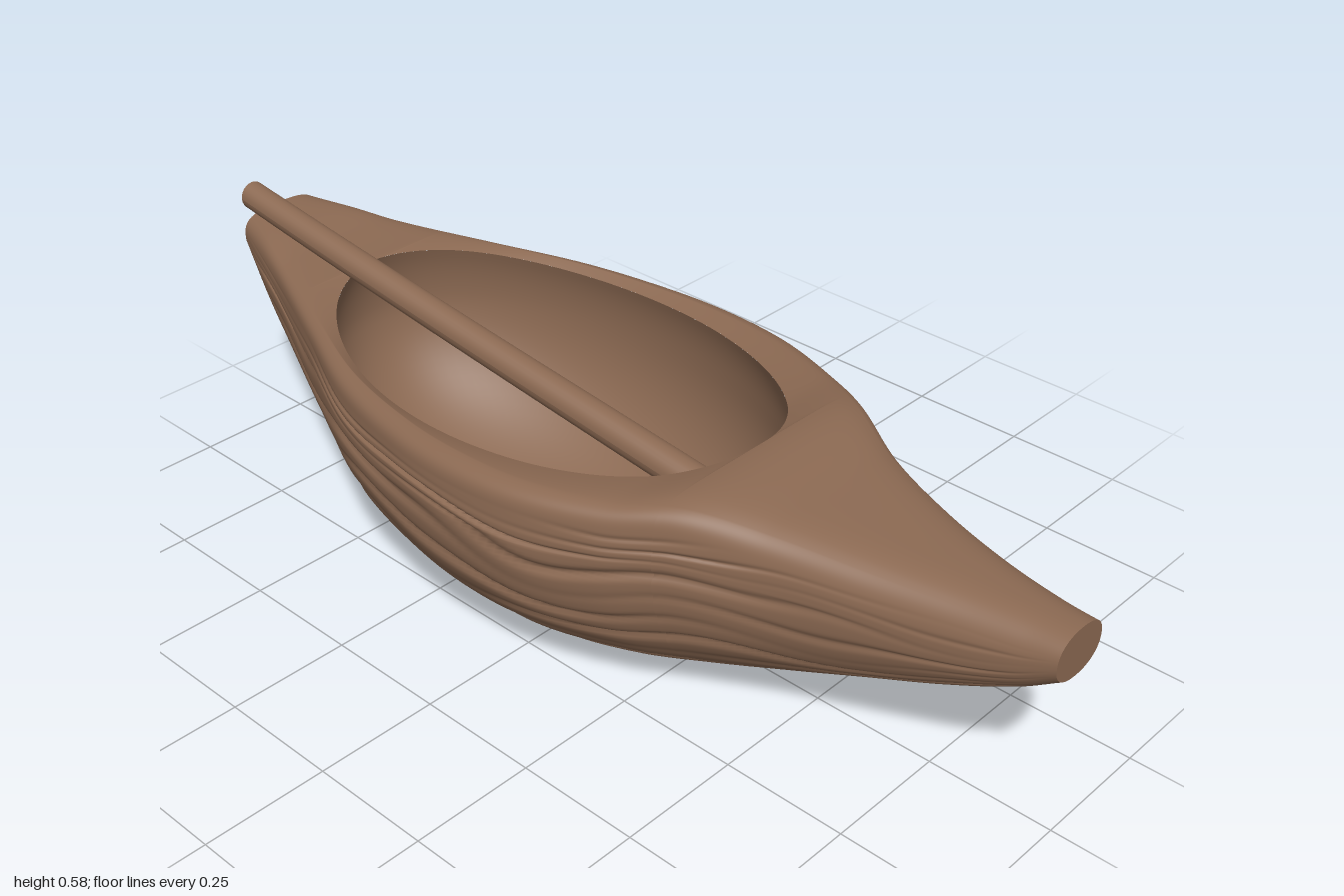
import * as THREE from 'three';

// Hull stations: x, half width, bottom, top, height fraction of widest line, squareness of the top
const STATIONS = [
  [-1, 0.095, 0.405, 0.505, 0.5, 3],
  [-0.9, 0.13, 0.28, 0.497, 0.62, 5],
  [-0.8, 0.167, 0.2, 0.483, 0.68, 7],
  [-0.6, 0.253, 0.097, 0.472, 0.74, 8],
  [-0.4, 0.338, 0.04, 0.464, 0.74, 8],
  [-0.2, 0.382, 0.012, 0.461, 0.74, 8],
  [-0.05, 0.391, 0.004, 0.461, 0.74, 8],
  [0.1, 0.375, 0.01, 0.462, 0.74, 8],
  [0.25, 0.325, 0.03, 0.468, 0.74, 7],
  [0.37, 0.262, 0.058, 0.483, 0.72, 6],
  [0.5, 0.195, 0.1, 0.463, 0.68, 4.5],
  [0.65, 0.145, 0.16, 0.447, 0.62, 3.5],
  [0.8, 0.105, 0.222, 0.438, 0.56, 2.8],
  [0.93, 0.078, 0.288, 0.433, 0.5, 2.4],
  [1, 0.064, 0.335, 0.431, 0.5, 2.3],
];
const HOLE = { x: -0.175, a: 0.515, b: 0.315, dip: 0.018 };
const EDGE = THREE.MathUtils.degToRad(46); // angle where the side turns into the deck

// Smooth interpolation of the station table at x
function section(x) {
  const S = STATIONS, last = S.length - 1;
  let i = 0;
  while (i < last - 1 && x > S[i + 1][0]) i++;
  const dx = S[i + 1][0] - S[i][0], t = (x - S[i][0]) / dx;
  const slope = (k, c) => {
    const p = S[Math.max(k - 1, 0)], q = S[Math.min(k + 1, last)];
    return (q[c] - p[c]) / (q[0] - p[0]);
  };
  const [w, bottom, top, frac, n] = [1, 2, 3, 4, 5].map((c) => {
    const t2 = t * t, t3 = t2 * t;
    return (2 * t3 - 3 * t2 + 1) * S[i][c] + (t3 - 2 * t2 + t) * dx * slope(i, c)
      + (3 * t2 - 2 * t3) * S[i + 1][c] + (t3 - t2) * dx * slope(i + 1, c);
  });
  return { w, bottom, top, mid: bottom + (top - bottom) * frac, n };
}

// Height of the flat upper surface
function deckY(s, z) {
  const u = Math.min(Math.abs(z) / s.w, 1);
  return s.mid + (s.top - s.mid) * Math.pow(1 - Math.pow(u, s.n), 1 / s.n);
}

// Wavy bark grooves running lengthwise, each coming and going along the hull
function bark(x, a) {
  const v = a * 5.2 + 0.5 * Math.sin(4 * x + 2 * a) + 0.3 * Math.sin(9 * x - 3 * a) + 0.14 * Math.sin(17 * x + 5 * a);
  const id = Math.round(v), d = (v - id) / 0.17;
  const mask = 0.55 + 0.45 * Math.sin(5 * x + 2.3 * id);
  const fade = THREE.MathUtils.smoothstep(1 - Math.abs(x), 0, 0.15)
    * THREE.MathUtils.smoothstep(EDGE - a, 0.25, 0.6) * THREE.MathUtils.smoothstep(a + Math.PI + EDGE, 0.25, 0.6);
  return 1 + fade * (0.009 - 0.034 * mask * Math.exp(-d * d));
}

// Surface from a list of rows of points
function gridGeometry(rows) {
  const n = rows[0].length, index = [];
  for (let i = 0; i < rows.length - 1; i++) {
    for (let j = 0; j < n - 1; j++) {
      const a = i * n + j, b = a + n;
      index.push(a, a + 1, b, a + 1, b + 1, b);
    }
  }
  const g = new THREE.BufferGeometry();
  g.setAttribute('position', new THREE.Float32BufferAttribute(rows.flat(2), 3));
  g.setIndex(index);
  g.computeVertexNormals();
  return g;
}

// One loop of the hull, from the opening's +z edge under the keel to its -z edge
function hullLoop(x) {
  const s = section(x), u = (x - HOLE.x) / HOLE.a;
  const open = Math.sqrt(Math.max(0, 1 - u * u));
  const COLS = 240, DECK = 12, loop = [];
  for (let j = 0; j <= COLS; j++) {
    const a = EDGE - (j / COLS) * (Math.PI + 2 * EDGE);
    const c = Math.cos(a), sn = Math.sin(a);
    const n = sn > 0 ? s.n : 2.2;
    const k = Math.pow(Math.abs(c) ** n + Math.abs(sn) ** n, -1 / n) * bark(x, a);
    loop.push([x, s.mid + sn * k * (sn > 0 ? s.top - s.mid : s.mid - s.bottom), c * k * s.w]);
  }
  const edge = loop[0][2], deck = [];
  for (let j = 0; j < DECK; j++) {
    const z = THREE.MathUtils.lerp(HOLE.b * open, edge, j / DECK);
    deck.push([x, deckY(s, z) - HOLE.dip * open * (1 - j / DECK), z]);
  }
  const mirrored = deck.map(([px, y, z]) => [px, y, -z]).reverse();
  return [...deck, ...loop, ...mirrored];
}

function hullRows() {
  const xs = [], left = HOLE.x - HOLE.a, right = HOLE.x + HOLE.a;
  for (let i = 0; i < 40; i++) xs.push(THREE.MathUtils.lerp(-1, left, i / 40));
  for (let i = 0; i < 80; i++) xs.push(HOLE.x - HOLE.a * Math.cos((i / 80) * Math.PI));
  for (let i = 0; i <= 60; i++) xs.push(THREE.MathUtils.lerp(right, 1, i / 60));
  return xs.map(hullLoop);
}

// Flat end closing a hull loop
function capGeometry(loop, x) {
  const s = section(x), centre = [x, (s.top + s.bottom) / 2, 0];
  const fan = loop.map((p) => (x > 0 ? [centre, p] : [p, centre]));
  return gridGeometry(fan);
}

// Deep rounded hollow, widest a little below the rim
function cavityGeometry() {
  const rows = [], floor = 0.025, waist = 0.34, lean = 0.04, n = 2.2;
  const start = -0.35; // profile angle at the rim, above the waist
  const profile = (p) => {
    const c = Math.cos(p), s = Math.sin(p);
    const m = Math.pow(Math.abs(c) ** n + Math.abs(s) ** n, -1 / n);
    return [c * m, s * m];
  };
  const [rimScale, rimDepth] = profile(start);
  for (let i = 0; i <= 96; i++) {
    const th = (i / 96) * Math.PI * 2, row = [];
    const rx = HOLE.a * Math.cos(th), rz = HOLE.b * Math.sin(th);
    const rim = deckY(section(HOLE.x + rx), rz) - HOLE.dip * Math.abs(Math.sin(th));
    for (let k = 0; k <= 36; k++) {
      const [c, depth] = profile(THREE.MathUtils.lerp(start, Math.PI / 2, k / 36));
      const r = c / rimScale;
      const y = depth < 0 ? waist + (rim - waist) * depth / rimDepth : waist - (waist - floor) * depth;
      row.push([HOLE.x + rx * r + lean * Math.max(depth, 0), y, rz * r]);
    }
    rows.push(row);
  }
  return gridGeometry(rows);
}

// Slightly curved stick leaning over the rim
function stickGeometry() {
  const g = new THREE.CylinderGeometry(0.036, 0.029, 1.35, 24, 30);
  g.rotateZ(-Math.PI / 2);
  g.translate(-0.305, 0, 0);
  const p = g.attributes.position;
  for (let i = 0; i < p.count; i++) {
    const x = p.getX(i);
    p.setY(i, p.getY(i) + 0.355 - 0.203 * x);
    p.setZ(i, p.getZ(i) - 0.092 * x + 0.012 * x ** 3);
  }
  g.computeVertexNormals();
  return g;
}

export function createModel() {
  const group = new THREE.Group();
  const wood = new THREE.MeshStandardMaterial({ color: 0x8b6952 });
  wood.name = 'brown wood';
  const add = (name, geometry) => {
    const mesh = new THREE.Mesh(geometry, wood);
    mesh.name = name;
    group.add(mesh);
  };
  const rows = hullRows();
  add('huskHull', gridGeometry(rows));
  add('bluntEnd', capGeometry(rows[0], -1));
  add('stemEnd', capGeometry(rows[rows.length - 1], 1));
  add('bowlHollow', cavityGeometry());
  add('stick', stickGeometry());
  return group;
}
